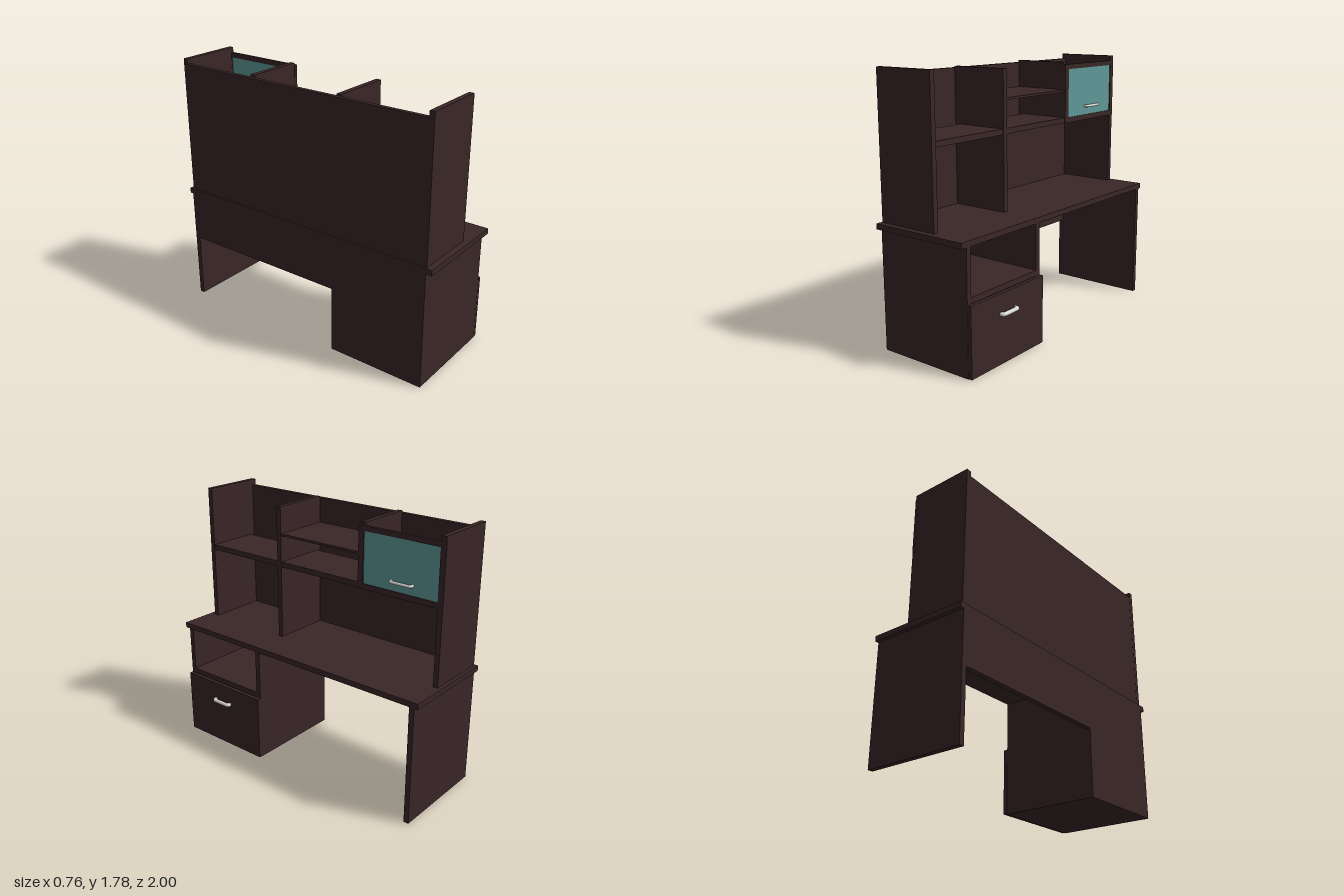
import * as THREE from 'three';

export function createModel() {
  const group = new THREE.Group();
  const wood = new THREE.MeshStandardMaterial({ color: 0x3a2627 });
  wood.name = 'dark wood';
  const glass = new THREE.MeshStandardMaterial({ color: 0x5f9998 });
  glass.name = 'teal glass';
  const metal = new THREE.MeshStandardMaterial({ color: 0xdcdcd8 });
  metal.name = 'pale metal';

  // Box panel given by its limits on each axis
  function panel(name, [x0, x1], [y0, y1], [z0, z1], material = wood) {
    const mesh = new THREE.Mesh(new THREE.BoxGeometry(x1 - x0, y1 - y0, z1 - z0), material);
    mesh.position.set((x0 + x1) / 2, (y0 + y1) / 2, (z0 + z1) / 2);
    mesh.name = name;
    group.add(mesh);
  }

  // Bow handle along z, standing off a face at the given x
  function handle(name, x, y, z, half, reach, radius) {
    const out = reach - radius;
    const h = half - radius;
    const path = new THREE.CurvePath();
    const p = (dx, dz) => new THREE.Vector3(x + dx, y, z + dz);
    const c = out * 0.75;
    path.add(new THREE.LineCurve3(p(-0.005, -h), p(out - c, -h)));
    path.add(new THREE.QuadraticBezierCurve3(p(out - c, -h), p(out, -h), p(out, -h + c)));
    path.add(new THREE.LineCurve3(p(out, -h + c), p(out, h - c)));
    path.add(new THREE.QuadraticBezierCurve3(p(out, h - c), p(out, h), p(out - c, h)));
    path.add(new THREE.LineCurve3(p(out - c, h), p(-0.005, h)));
    const mesh = new THREE.Mesh(new THREE.TubeGeometry(path, 48, radius, 12), metal);
    mesh.name = name;
    group.add(mesh);
  }

  // Desk: worktop, leg panel, modesty panel
  const deep = [-0.38, 0.315];
  panel('worktop', deep, [0.803, 0.84], [-1, 1]);
  panel('legPanel', deep, [0, 0.803], [-0.975, -0.94]);
  panel('modestyPanel', [-0.38, -0.345], [0.46, 0.803], [-0.94, 0.27]);

  // Drawer cabinet with an open cubby above the drawer
  panel('cabinetOuterSide', deep, [0, 0.803], [0.925, 0.96]);
  panel('cabinetInnerSide', deep, [0, 0.803], [0.27, 0.305]);
  panel('cabinetBack', [-0.38, -0.345], [0, 0.803], [0.305, 0.925]);
  panel('cabinetBottom', [-0.345, 0.315], [0, 0.035], [0.305, 0.925]);
  panel('cubbyFloor', [-0.345, 0.315], [0.46, 0.498], [0.305, 0.925]);
  panel('drawerFront', [0.317, 0.342], [0.004, 0.46], [0.268, 0.96]);
  handle('drawerHandle', 0.342, 0.33, 0.62, 0.083, 0.034, 0.014);

  // Hutch: sides, dividers, back and shelves
  const hutch = [-0.37, 0.065];
  panel('hutchLeftSide', hutch, [0.84, 1.785], [0.925, 0.96]);
  panel('hutchRightSide', hutch, [0.84, 1.78], [-0.976, -0.942]);
  panel('tallDivider', [-0.34, 0.065], [0.84, 1.755], [0.28, 0.315]);
  panel('shortDivider', [-0.345, 0.045], [1.345, 1.76], [-0.398, -0.363]);
  panel('hutchBackMain', [-0.37, -0.34], [0.84, 1.745], [-0.942, 0.28]);
  panel('hutchBackSide', [-0.369, -0.34], [0.84, 1.745], [0.28, 0.925]);
  panel('leftShelf', [-0.305, 0.06], [1.343, 1.38], [0.315, 0.925]);
  panel('longShelf', [-0.305, 0.045], [1.343, 1.38], [-0.942, 0.28]);
  panel('longShelfEdge', [0.045, 0.06], [1.343, 1.38], [-0.363, 0.28]);
  panel('thinShelf', [-0.34, 0.06], [1.558, 1.573], [-0.363, 0.28]);

  // Cupboard door: frame, glass pane and handle
  const door = [0.045, 0.066];
  panel('doorTopRail', door, [1.712, 1.745], [-0.978, -0.36]);
  panel('doorBottomRail', door, [1.342, 1.378], [-0.978, -0.36]);
  panel('doorLeftStile', door, [1.378, 1.712], [-0.4, -0.36]);
  panel('doorRightStile', door, [1.378, 1.712], [-0.978, -0.94]);
  panel('doorGlass', [0.052, 0.06], [1.378, 1.712], [-0.94, -0.4], glass);
  handle('doorHandle', 0.06, 1.44, -0.685, 0.085, 0.032, 0.01);

  return group;
}
